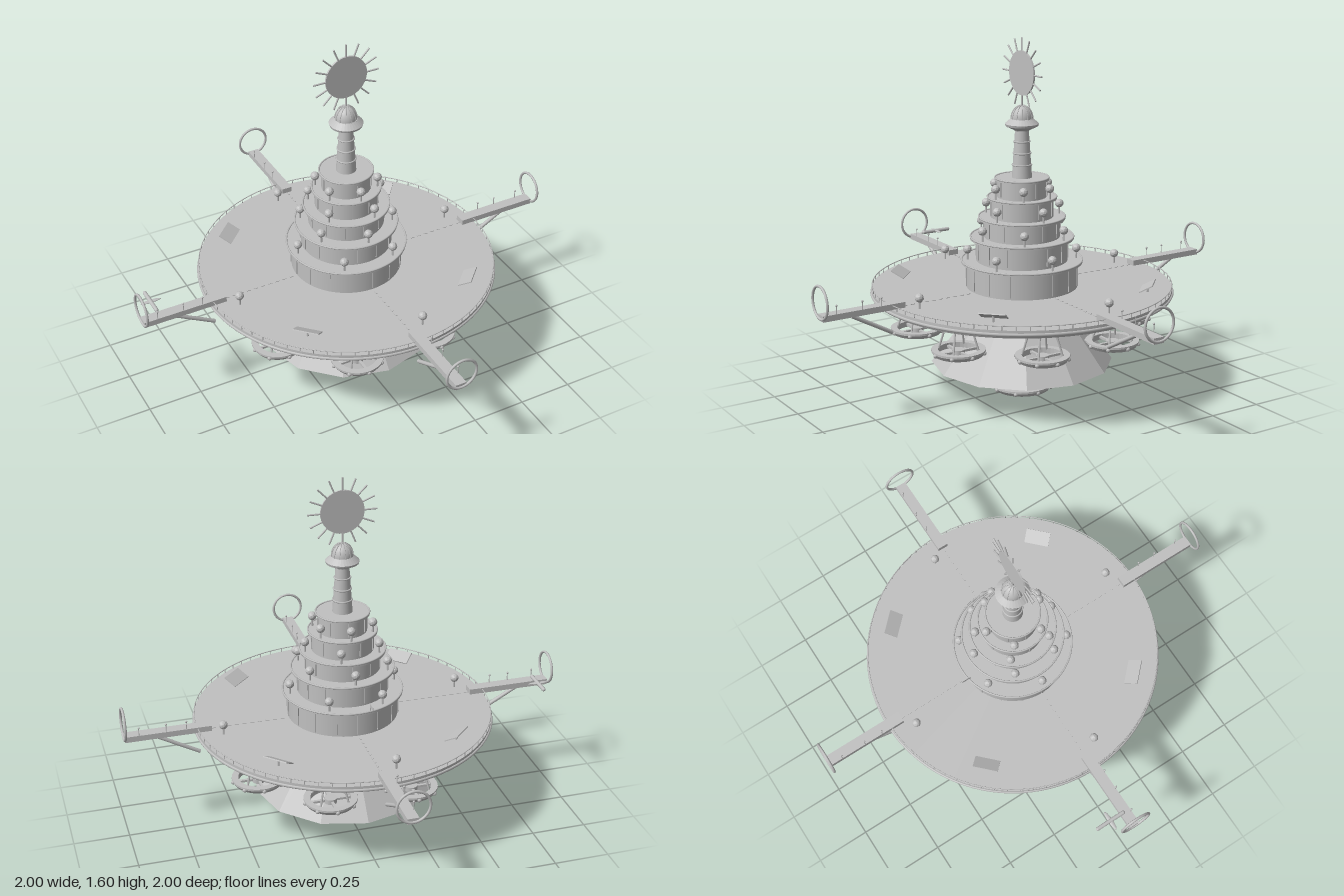
import * as THREE from 'three';

const grey = new THREE.MeshStandardMaterial({ color: 0xc0c0c0 });
grey.name = 'plain grey';
const faceted = new THREE.MeshStandardMaterial({ color: 0xc0c0c0, flatShading: true });
faceted.name = 'faceted grey';

function add(parent, name, geo, x = 0, y = 0, z = 0, mat = grey) {
  const m = new THREE.Mesh(geo, mat);
  m.name = name;
  m.position.set(x, y, z);
  parent.add(m);
  return m;
}
function group(parent, name, x = 0, y = 0, z = 0, turn = 0) {
  const g = new THREE.Group();
  g.name = name;
  g.position.set(x, y, z);
  g.rotation.y = turn;
  parent.add(g);
  return g;
}
const box = (w, h, d) => new THREE.BoxGeometry(w, h, d);
const cyl = (rt, rb, h, n = 48) => new THREE.CylinderGeometry(rt, rb, h, n);
const flatRing = (r, t, n = 64) => new THREE.TorusGeometry(r, t, 6, n).rotateX(Math.PI / 2);

// Round bar between two points
function bar(parent, name, a, b, r, n = 6) {
  const p = new THREE.Vector3(...a), q = new THREE.Vector3(...b);
  const d = q.clone().sub(p);
  const m = add(parent, name, cyl(r, r, d.length(), n));
  m.position.copy(p).add(q).multiplyScalar(0.5);
  m.quaternion.setFromUnitVectors(new THREE.Vector3(0, 1, 0), d.normalize());
  return m;
}
// Calls fn with an angle and its x and z on a circle
function around(n, r, fn, start = 0) {
  for (let i = 0; i < n; i++) {
    const a = start + (i / n) * Math.PI * 2;
    fn(a, Math.cos(a) * r, Math.sin(a) * r);
  }
}
function tree(parent, x, y, z) {
  const t = group(parent, 'tree', x, y, z);
  add(t, 'trunk', cyl(0.004, 0.005, 0.04, 6), 0, 0.02, 0);
  add(t, 'crown', new THREE.IcosahedronGeometry(0.02, 1), 0, 0.047, 0, faceted);
}

// Wheel-shaped lift hanging on four struts
function pod(parent, x, y, z, s, top, turn) {
  const p = group(parent, 'pod', x, y, z, turn);
  add(p, 'podRim', cyl(0.118 * s, 0.108 * s, 0.016, 32).scale(1, 1, 1), 0, 0, 0).removeFromParent();
  const profile = [[0.088, -0.012], [0.106, -0.012], [0.117, 0.004], [0.117, 0.013], [0.088, 0.013], [0.088, -0.012]];
  add(p, 'podRim', new THREE.LatheGeometry(profile.map(([r, h]) => new THREE.Vector2(r * s, h)), 32), 0, 0, 0, faceted);
  add(p, 'podHub', cyl(0.028 * s, 0.028 * s, 0.022, 16));
  for (const a of [0, Math.PI / 2]) add(p, 'podSpoke', box(0.19 * s, 0.01, 0.012)).rotation.y = a;
  around(8, 0.113 * s, (a, px, pz) => add(p, 'podLamp', new THREE.SphereGeometry(0.01, 8, 6), px, 0, pz));
  around(4, 1, (a, c, d) => bar(p, 'podStrut',
    [c * 0.088 * s, 0.008, d * 0.088 * s], [c * 0.045, top - y, d * 0.045], 0.005), Math.PI / 4);
}

// Landing arm reaching out along +x
function arm(parent, turn) {
  const g = group(parent, 'landingArm', 0, 0, 0, turn);
  add(g, 'armBeam', box(0.385, 0.026, 0.05), 0.8, 0.507, 0);
  bar(g, 'armBrace', [0.66, 0.387, 0], [0.85, 0.492, 0], 0.009, 8);
  add(g, 'armRing', new THREE.TorusGeometry(0.071, 0.006, 8, 40).rotateY(Math.PI / 2), 0.993, 0.573, 0);
  for (const x of [0.72, 0.81, 0.93]) {
    bar(g, 'lampPost', [x, 0.515, -0.022], [x, 0.553, -0.022], 0.002);
    add(g, 'lamp', new THREE.SphereGeometry(0.005, 8, 6), x, 0.556, -0.022);
  }
}

export function createModel() {
  const model = new THREE.Group();
  model.name = 'floatingPlatform';

  // Main deck with rim and railing
  add(model, 'deck', cyl(0.672, 0.672, 0.022, 96), 0, 0.484, 0);
  add(model, 'deckUnderside', cyl(0.66, 0.65, 0.02, 96), 0, 0.465, 0);
  add(model, 'deckRim', flatRing(0.672, 0.007, 96), 0, 0.477, 0);
  add(model, 'railing', flatRing(0.67, 0.0022, 96), 0, 0.513, 0);
  around(72, 0.67, (a, x, z) => add(model, 'railPost', box(0.003, 0.02, 0.003), x, 0.504, z));

  // Dashed walkways on the deck
  for (let k = 0; k < 4; k++) {
    const path = group(model, 'walkway', 0, 0.496, 0, k * Math.PI / 2);
    for (let i = 0; i < 10; i++) add(path, 'walkwayTile', box(0.018, 0.003, 0.008), 0.28 + i * 0.035, 0, 0);
  }

  // Faceted hull, shallow cap and lowest pod
  add(model, 'hull', cyl(0.16, 0.41, 0.32, 12), 0, 0.3, 0, faceted);
  add(model, 'hullCap', cyl(0.07, 0.162, 0.03, 32), 0, 0.128, 0);
  pod(model, 0, 0.018, 0, 1.18, 0.118, 0);
  around(8, 0.476, (a, x, z) => pod(model, x, 0.312, z, 1, 0.46, 0), Math.PI / 8);

  // Stepped tower: wall radius, terrace radius, base, top
  const tiers = [
    [0.25, 0.272, 0.49, 0.615],
    [0.205, 0.232, 0.615, 0.722],
    [0.17, 0.194, 0.722, 0.813],
    [0.14, 0.155, 0.813, 0.902],
    [0.11, 0.121, 0.902, 0.988],
  ];
  tiers.forEach(([r, cap, y0, y1], i) => {
    const t = group(model, 'tier');
    add(t, 'tierWall', cyl(r, r, y1 - y0), 0, (y0 + y1) / 2, 0);
    add(t, 'terrace', cyl(cap, cap, 0.01), 0, y1 - 0.005, 0);
    add(t, 'terraceEdge', flatRing(cap - 0.002, 0.004), 0, y1, 0);
    around(16 - i * 2, r, (a, x, z) =>
      add(t, 'wallRib', box(0.008, (y1 - y0) * 0.8, 0.008), x, (y0 + y1) / 2, z).rotation.y = -a);
    if (i < 4) around(i < 2 ? 6 : 5 + i % 2, (tiers[i + 1][0] + cap) / 2 + 0.005,
      (a, x, z) => tree(t, x, y1, z), i % 2 ? Math.PI / 6 : 0);
  });

  // Spire, lookout and ribbed dome
  add(model, 'spire', cyl(0.03, 0.045, 0.22, 24), 0, 1.095, 0);
  for (let i = 0; i < 4; i++)
    add(model, 'spireBand', flatRing(0.042 - i * 0.0035, 0.004, 24), 0, 1.045 + i * 0.052, 0);
  const lookout = [[0, 1.198], [0.035, 1.2], [0.072, 1.218], [0.075, 1.228], [0.066, 1.236], [0.05, 1.25], [0, 1.25]];
  add(model, 'lookout', new THREE.LatheGeometry(lookout.map(p => new THREE.Vector2(...p)), 32), 0, 0, 0, faceted);
  add(model, 'dome', new THREE.SphereGeometry(0.048, 24, 10, 0, Math.PI * 2, 0, Math.PI / 2).scale(1, 1.25, 1), 0, 1.248, 0);
  for (let i = 0; i < 6; i++)
    add(model, 'domeRib', new THREE.TorusGeometry(0.049, 0.002, 5, 20, Math.PI).scale(1, 1.25, 1), 0, 1.248, 0)
      .rotation.y = i * Math.PI / 6;
  bar(model, 'mast', [0, 1.3, 0], [0, 1.36, 0], 0.005, 8);

  // Sun disc with rays
  const sun = group(model, 'sunSign', 0, 1.45, 0);
  add(sun, 'sunDisc', cyl(0.098, 0.098, 0.008, 40).rotateX(Math.PI / 2));
  around(16, 1, (a, c, s) => bar(sun, 'sunRay', [c * 0.095, s * 0.095, 0], [c * 0.155, s * 0.155, 0], 0.004));

  // Landing arms
  for (let k = 0; k < 4; k++) arm(model, k * Math.PI / 2);

  // Tilted panels facing the tower, and deck trees
  for (let k = 0; k < 4; k++) {
    const g = group(model, 'panelStand', 0, 0, 0, Math.PI / 4 + k * Math.PI / 2);
    add(g, 'panel', box(0.066, 0.005, 0.115), 0.566, 0.522, 0).rotation.z = 0.5;
    bar(g, 'panelPost', [0.566, 0.49, 0], [0.566, 0.521, 0], 0.005);
  }
  for (const [x, z] of [[-0.07, -0.565], [0.565, -0.07], [-0.565, 0.07], [0.07, 0.565]]) tree(model, x, 0.495, z);

  // Small aircraft beside the right arm
  const plane = group(model, 'aircraft', -0.92, 0.538, -0.082);
  add(plane, 'fuselage', new THREE.CapsuleGeometry(0.009, 0.135, 4, 10).rotateX(Math.PI / 2));
  add(plane, 'wing', new THREE.SphereGeometry(0.048, 16, 8).scale(1, 0.09, 0.22));

  // Flag behind the tower
  const flag = group(model, 'flag', -0.05, 0.615, -0.262);
  bar(flag, 'flagPole', [0, -0.01, 0], [0, 0.036, 0], 0.002);
  add(flag, 'flagCloth', box(0.004, 0.014, 0.04), 0, 0.03, -0.02);

  return model;
}
